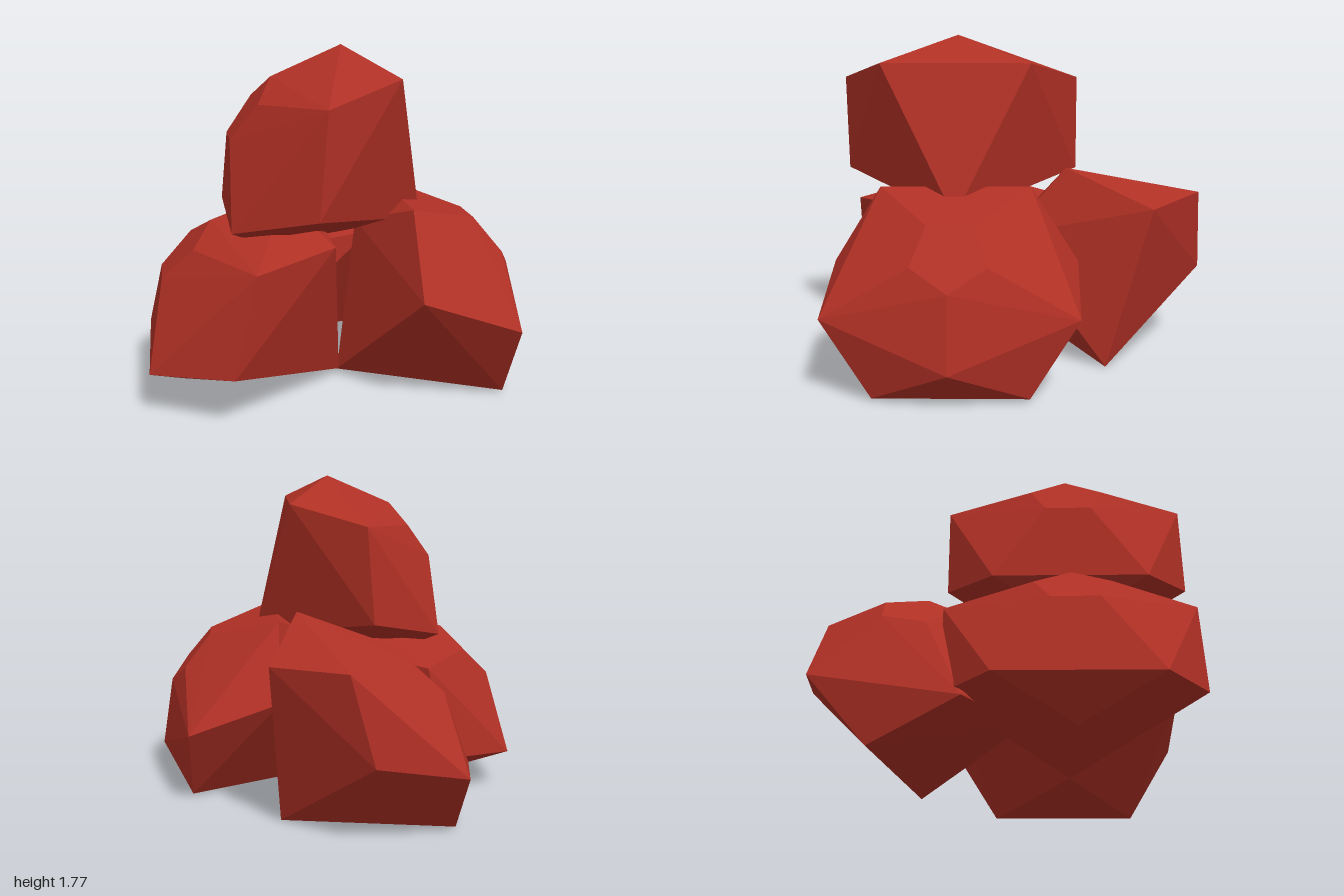
import * as THREE from 'three';
import { ConvexGeometry } from 'three/addons/geometries/ConvexGeometry.js';

// Rock corners [x, y, z]; every corner with z > 0 is mirrored to -z.
const CORNERS = [
  [0.245, -0.085, 0.645], [-0.245, 0.085, 0.645],                      // widest corners
  [-0.245, 0.485, 0.395], [0.245, -0.493, 0.395],                      // upper and lower corners
  [0.435, -0.305, 0], [-0.46, 0.345, 0], [-0.555, -0.485, 0],          // corners on the mid plane
  [0.145, 0.365, 0.118], [0.285, 0.19, 0.19], [0.375, 0.08, 0],        // chipped five-sided facet
];

function rockGeometry() {
  const points = [];
  for (const [x, y, z] of CORNERS) {
    points.push(new THREE.Vector3(x, y, z));
    if (z > 0) points.push(new THREE.Vector3(x, y, -z));
  }
  return new ConvexGeometry(points);
}

// One rock shape, turned differently for each stone of the pile.
const ROCKS = [
  { name: 'leftRock', position: [0.555, 0.515, 0.355], rotation: [0, 0, 0] },
  { name: 'rightRock', position: [-0.536, 0.527, 0.355], rotation: [0, 0, 1.686] },
  { name: 'topRock', position: [-0.17, 1.277, 0.355], rotation: [0, 0, 1.826] },
  { name: 'backRock', position: [-0.18, 0.553, -0.429], rotation: [1.52, -0.829, 2.367] },
];

export function createModel() {
  const group = new THREE.Group();
  group.name = 'rockPile';
  const material = new THREE.MeshStandardMaterial({ color: 0xb03025 });
  material.name = 'red stone';
  const geometry = rockGeometry();
  for (const { name, position, rotation } of ROCKS) {
    const rock = new THREE.Mesh(geometry, material);
    rock.name = name;
    rock.position.set(...position);
    rock.rotation.set(...rotation);
    group.add(rock);
  }
  return group;
}
